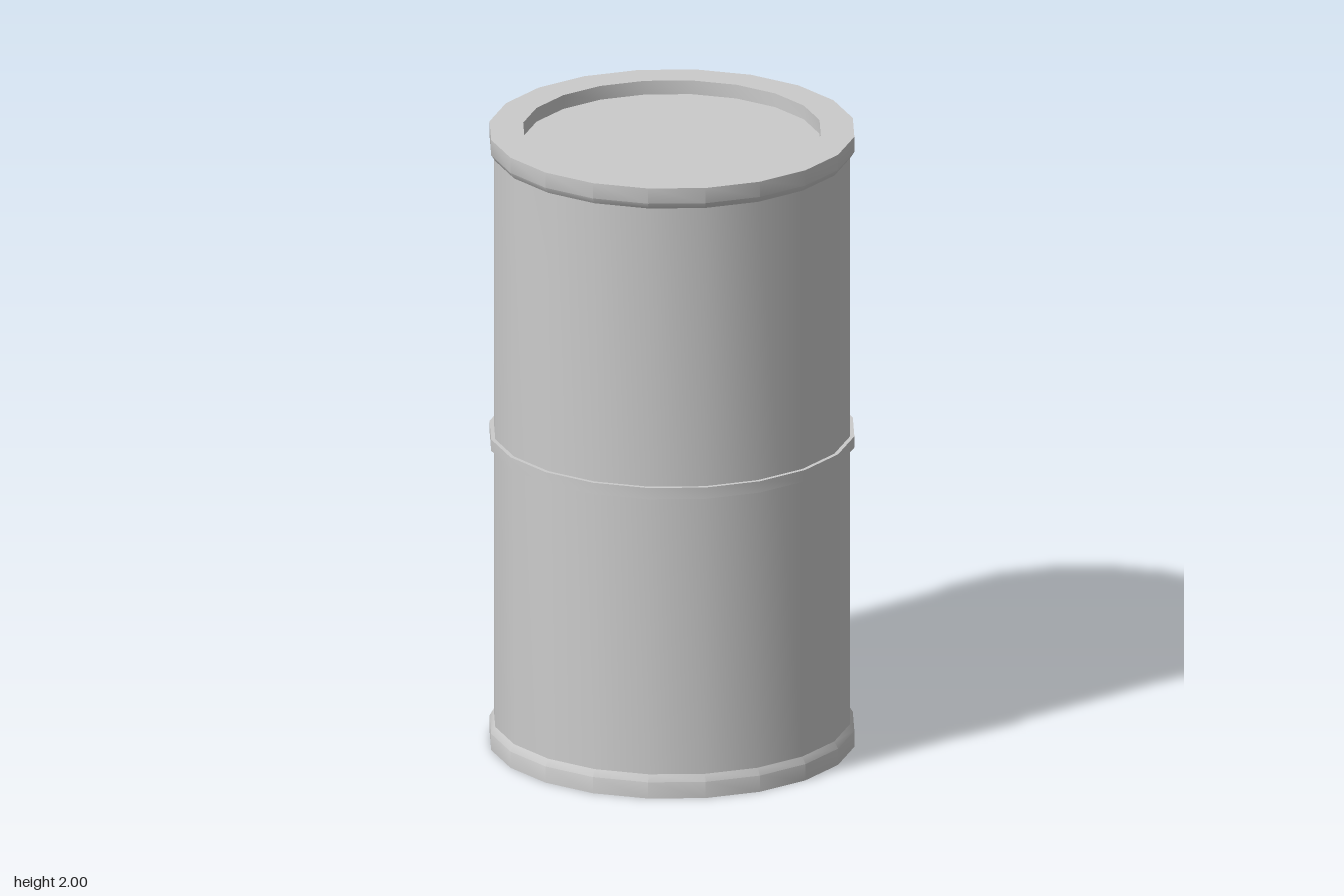
import * as THREE from 'three';
import { toCreasedNormals } from 'three/addons/utils/BufferGeometryUtils.js';

const SIDES = 20;
const BODY_R = 0.557, RIM_R = 0.57, LID_R = 0.465, LID_Y = 1.955;

export function createModel() {
  const drum = new THREE.Group();
  drum.name = 'drum';
  const material = new THREE.MeshStandardMaterial({ color: 0xcccccc });

  const add = (name, geometry) => {
    const mesh = new THREE.Mesh(geometry, material);
    mesh.name = name;
    drum.add(mesh);
    return mesh;
  };

  // Revolve a profile of [radius, height] pairs, listed from bottom to top on the outside
  const revolve = (name, profile) => {
    const points = profile.map(([r, y]) => new THREE.Vector2(r, y));
    return add(name, toCreasedNormals(new THREE.LatheGeometry(points, SIDES), 0.6));
  };

  // Flat disc facing up (1) or down (-1)
  const disc = (name, radius, y, facing) => {
    const mesh = add(name, new THREE.CircleGeometry(radius, SIDES));
    mesh.rotation.x = -facing * Math.PI / 2;
    mesh.position.y = y;
  };

  // Bottom rim, its shoulder tapering into the wall
  revolve('bottomRim', [[RIM_R, 0], [RIM_R, 0.053], [BODY_R, 0.075]]);
  disc('base', RIM_R, 0, -1);

  // Wall
  revolve('wall', [[BODY_R, 0.075], [BODY_R, 1.93]]);

  // Raised hoop around the middle
  revolve('middleHoop', [[BODY_R, 0.981], [RIM_R, 0.981], [RIM_R, 1.018], [BODY_R, 1.018]]);

  // Top rim, folding inward and down to the sunken lid
  revolve('topRim', [[BODY_R, 1.93], [RIM_R, 1.95], [RIM_R, 2], [LID_R, 2], [LID_R, LID_Y]]);
  disc('lid', LID_R, LID_Y, 1);

  return drum;
}
